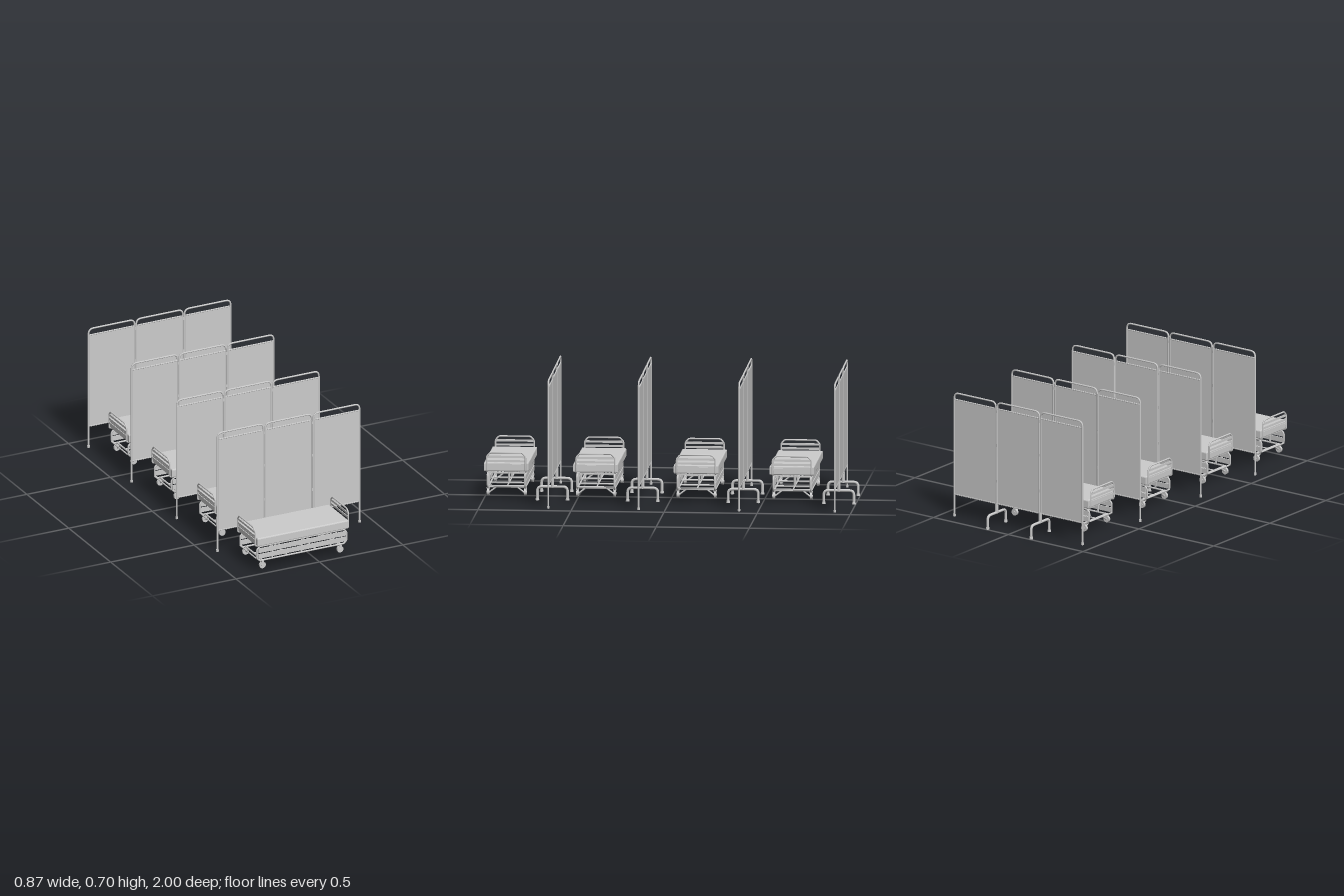
import * as THREE from 'three';

const grey = new THREE.MeshStandardMaterial({ color: 0xcccccc });
grey.name = 'pale grey';
const V = (x, y, z) => new THREE.Vector3(x, y, z);

// Polyline whose sample points land exactly on its corners
class Path extends THREE.Curve {
  constructor(pts, closed) {
    super();
    this.pts = pts;
    this.closed = closed;
    this.n = closed ? pts.length : pts.length - 1;
  }
  at(i) {
    const n = this.pts.length;
    return this.pts[this.closed ? (i + n) % n : Math.min(Math.max(i, 0), n - 1)];
  }
  getPoint(t) {
    const f = t * this.n, i = Math.min(Math.floor(f + 1e-6), this.n);
    return this.at(i).clone().lerp(this.at(i + 1), Math.max(0, f - i));
  }
  getPointAt(t) { return this.getPoint(t); }
  getTangentAt(t) {
    const i = Math.round(t * this.n), p = this.at(i);
    const a = p.clone().sub(this.at(i - 1)).normalize();
    return a.add(this.at(i + 1).clone().sub(p).normalize()).normalize();
  }
}

function add(group, name, geometry, x = 0, y = 0, z = 0) {
  const mesh = new THREE.Mesh(geometry, grey);
  mesh.name = name;
  mesh.position.set(x, y, z);
  group.add(mesh);
  return mesh;
}

function box(group, name, w, h, d, x, y, z) {
  return add(group, name, new THREE.BoxGeometry(w, h, d), x, y, z);
}

// Bent pipe: corners rounded by the given bend length
function pipe(group, name, corners, radius, bend = 0, closed = false, steps = 4) {
  const n = corners.length, pts = [];
  corners.forEach((p, i) => {
    if (!bend || (!closed && (i === 0 || i === n - 1))) return pts.push(p);
    const prev = corners[(i + n - 1) % n], next = corners[(i + 1) % n];
    const a = p.clone().add(prev.clone().sub(p).setLength(bend));
    const b = p.clone().add(next.clone().sub(p).setLength(bend));
    pts.push(...new THREE.QuadraticBezierCurve3(a, p, b).getPoints(steps));
  });
  const path = new Path(pts, closed);
  return add(group, name, new THREE.TubeGeometry(path, path.n, radius, 8, closed));
}

function createScreen() {
  const g = new THREE.Group();
  g.name = 'foldingScreen';
  const spans = [[-0.427, -0.15], [-0.14, 0.14], [0.15, 0.427]];
  spans.forEach(([x0, x1], i) => {
    // Hooped frame; the outer legs reach the floor
    const b0 = i === 0 ? 0.005 : 0.09, b1 = i === 2 ? 0.005 : 0.09;
    pipe(g, 'screenFrame', [V(x0, b0, 0), V(x0, 0.693, 0), V(x1, 0.693, 0), V(x1, b1, 0)], 0.0048, 0.03, false, 6);
    const w = x1 - x0, cx = (x0 + x1) / 2;
    box(g, 'fabric', w - 0.006, 0.54, 0.003, cx, 0.39, 0);
    for (const y of [0.656, 0.124]) pipe(g, 'fabricRod', [V(x0, y, 0), V(x1, y, 0)], 0.0035);
  });
  for (const s of [-1, 1]) {
    add(g, 'outerFoot', new THREE.CylinderGeometry(0.0075, 0.0075, 0.012, 12), s * 0.427, 0.006, 0);
    // Arched stabilising legs under the inner joints
    const x = s * 0.145;
    pipe(g, 'archedLeg', [V(x, 0.005, 0.081), V(x, 0.074, 0.081), V(x, 0.074, -0.081), V(x, 0.005, -0.081)], 0.0075, 0.025);
    pipe(g, 'jointSleeve', [V(x, 0.07, 0), V(x, 0.13, 0)], 0.009);
    for (const y of [0.25, 0.45, 0.64]) box(g, 'hinge', 0.012, 0.015, 0.007, x, y, 0);
    for (const z of [-0.081, 0.081]) {
      add(g, 'legFoot', new THREE.CylinderGeometry(0.009, 0.0105, 0.012, 12), x, 0.006, z);
    }
  }
  return g;
}

// Mattress with softly bevelled edges
function mattressGeometry(w, h, d) {
  const b = 0.006, x = w / 2 - b, z = d / 2 - b;
  const s = new THREE.Shape([[-x, -z], [x, -z], [x, z], [-x, z]].map(([a, c]) => new THREE.Vector2(a, c)));
  const geo = new THREE.ExtrudeGeometry(s, { depth: h - 2 * b, bevelSize: b, bevelThickness: b, bevelSegments: 2 });
  return geo.translate(0, 0, -(h - 2 * b) / 2).rotateX(-Math.PI / 2);
}

function createBed() {
  const g = new THREE.Group();
  g.name = 'bed';
  const mid = -0.095;
  add(g, 'mattress', mattressGeometry(0.546, 0.048, 0.24), mid, 0.182, 0);

  // Platform under the mattress
  for (let i = -5; i <= 5; i++) box(g, 'platformSlat', 0.53, 0.003, 0.011, mid, 0.1555, i * 0.0185);
  for (let i = -3; i <= 3; i++) box(g, 'platformCrossbar', 0.007, 0.005, 0.21, mid + i * 0.085, 0.152, 0);

  for (const s of [-1, 1]) {
    // Side frame loop with chamfered corners
    const z = s * 0.1, x0 = -0.362, x1 = 0.174, c = 0.016;
    pipe(g, 'sideFrame', [
      V(x0 + c, 0.149, z), V(x1 - c, 0.149, z), V(x1, 0.149 - c, z), V(x1, 0.067 + c, z),
      V(x1 - c, 0.067, z), V(x0 + c, 0.067, z), V(x0, 0.067 + c, z), V(x0, 0.149 - c, z)
    ], 0.005, 0.005, true, 2);
    // Guard slats and their posts
    for (const y of [0.127, 0.094]) box(g, 'sideSlat', 0.524, 0.027, 0.004, mid, y, s * 0.104);
    for (const x of [-0.27, mid, 0.08]) box(g, 'sidePost', 0.008, 0.082, 0.006, x, 0.108, s * 0.099);

    // End board: hooped tube turning in below the mattress, with slats
    const ex = mid + s * 0.279, inner = mid + s * 0.255;
    pipe(g, 'endHoop', [
      V(inner, 0.154, 0.104), V(ex, 0.16, 0.104), V(ex, 0.24, 0.104), V(ex, 0.261, 0.085),
      V(ex, 0.261, -0.085), V(ex, 0.24, -0.104), V(ex, 0.16, -0.104), V(inner, 0.154, -0.104)
    ], 0.0045, 0.008, false, 3);
    for (const y of [0.238, 0.215, 0.19]) box(g, 'endSlat', 0.004, 0.012, 0.208, ex, y, 0);
    pipe(g, 'endLowerBar', [V(mid + s * 0.268, 0.08, -0.1), V(mid + s * 0.268, 0.08, 0.1)], 0.004);
  }

  // Lower cross tubes and a centre spine
  for (const x of [-0.33, -0.18, -0.01, 0.135]) pipe(g, 'lowerCrossTube', [V(x, 0.068, -0.1), V(x, 0.068, 0.1)], 0.005);
  pipe(g, 'lowerSpine', [V(-0.33, 0.068, 0), V(0.135, 0.068, 0)], 0.004);
  for (const x of [-0.18, -0.01]) pipe(g, 'liftPost', [V(x, 0.068, 0), V(x, 0.152, 0)], 0.006);

  // Casters
  for (const x of [-0.33, 0.135]) for (const s of [-1, 1]) {
    const wheel = add(g, 'casterWheel', new THREE.CylinderGeometry(0.0185, 0.0185, 0.012, 20), x, 0.0395, s * 0.1);
    wheel.rotation.x = Math.PI / 2;
    const hub = add(g, 'casterHub', new THREE.CylinderGeometry(0.007, 0.007, 0.018, 12), x, 0.0395, s * 0.1);
    hub.rotation.x = Math.PI / 2;
    pipe(g, 'casterBrace', [V(x, 0.04, s * 0.092), V(x, 0.066, s * 0.058)], 0.0045);
    box(g, 'casterPlate', 0.014, 0.008, 0.016, x, 0.061, s * 0.1);
  }
  return g;
}

export function createModel() {
  const model = new THREE.Group();
  model.name = 'wardBeds';
  const bed = createBed(), screen = createScreen();
  // Four bays, each a bed with a screen behind it
  for (const [bedZ, screenZ] of [[0.875, 0.63], [0.395, 0.145], [-0.145, -0.395], [-0.66, -0.909]]) {
    const b = bed.clone(), s = screen.clone();
    b.position.z = bedZ;
    s.position.z = screenZ;
    s.rotation.y = 0.006;
    model.add(b, s);
  }
  return model;
}
